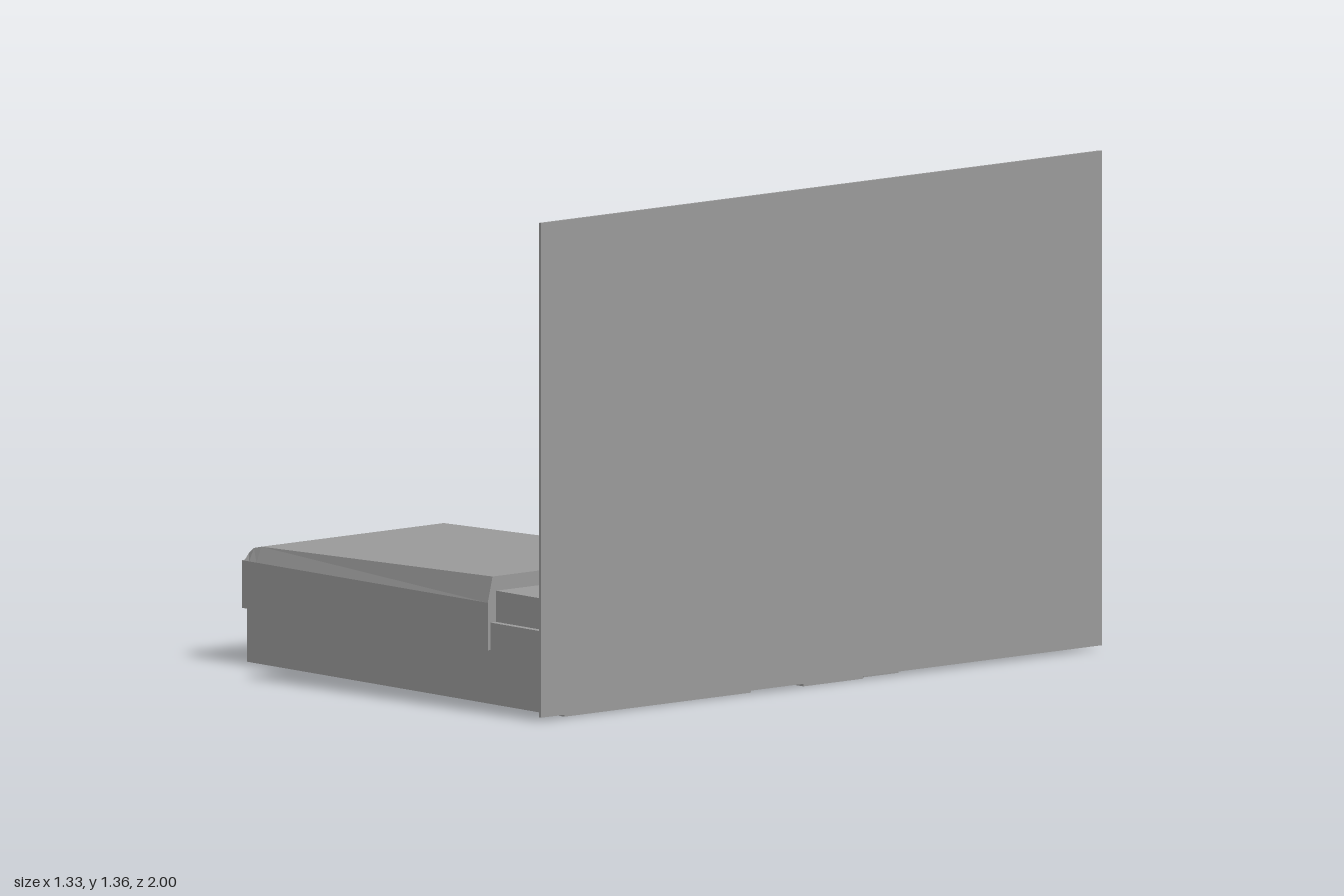
import * as THREE from 'three';

const grey = new THREE.MeshStandardMaterial({ color: 0x999999 });
grey.name = 'plain grey';

export function createModel() {
  const root = new THREE.Group();
  const group = (name) => {
    const g = new THREE.Group();
    g.name = name;
    root.add(g);
    return g;
  };
  const add = (parent, name, geometry, x = 0, y = 0, z = 0) => {
    const m = new THREE.Mesh(geometry, grey);
    m.name = name;
    m.position.set(x, y, z);
    parent.add(m);
    return m;
  };
  // box given by its limits on each axis
  const box = (parent, name, x0, x1, y0, y1, z0, z1) =>
    add(parent, name, new THREE.BoxGeometry(x1 - x0, y1 - y0, z1 - z0),
      (x0 + x1) / 2, (y0 + y1) / 2, (z0 + z1) / 2);
  // flat outline pushed along its own z
  const slab = (points, depth) => new THREE.ExtrudeGeometry(
    new THREE.Shape(points.map(([a, b]) => new THREE.Vector2(a, b))), { depth, bevelEnabled: false });
  // soft rounded-square cushion
  const cushion = (w, h, d, bend = 0) => {
    const g = new THREE.SphereGeometry(1, 32, 16);
    const p = g.attributes.position;
    for (let i = 0; i < p.count; i++) {
      const x = p.getX(i), y = p.getY(i), z = p.getZ(i);
      const r = Math.hypot(x, z);
      const c = r > 1e-5 ? x / r : 0, s = r > 1e-5 ? z / r : 0;
      const k = r > 1e-5 ? Math.sqrt(r) / Math.pow(c ** 6 + s ** 6, 1 / 6) : 0;
      p.setXYZ(i, c * k * w / 2 + bend * (s * k) ** 2, y * h / 2, s * k * d / 2);
    }
    g.computeVertexNormals();
    return g;
  };
  // closed convex sections joined in order of growing x
  const loft = (sections) => {
    const v = [];
    const tri = (...pts) => pts.forEach((q) => v.push(...q));
    const n = sections[0].length;
    for (let s = 0; s < sections.length - 1; s++) {
      for (let i = 0; i < n; i++) {
        const j = (i + 1) % n, A = sections[s], B = sections[s + 1];
        tri(A[i], A[j], B[j]);
        tri(A[i], B[j], B[i]);
      }
    }
    const first = sections[0], last = sections[sections.length - 1];
    for (let i = 1; i < n - 1; i++) {
      tri(first[0], first[i + 1], first[i]);
      tri(last[0], last[i], last[i + 1]);
    }
    const g = new THREE.BufferGeometry();
    g.setAttribute('position', new THREE.Float32BufferAttribute(v, 3));
    g.computeVertexNormals();
    return g;
  };

  // wall panel
  box(root, 'wall', 0.655, 0.663, 0.01, 1.36, -1, 1);

  // bed frame with two drawers on the back side
  const bed = group('bed');
  box(bed, 'bedBase', -0.655, 0.63, 0.003, 0.225, 0.245, 0.91);
  for (const [x0, x1] of [[-0.645, -0.04], [0, 0.59]]) {
    box(bed, 'bedDrawer', x0, x1, 0.03, 0.2, 0.233, 0.245);
  }
  const head = add(bed, 'headboard', slab([
    [-0.91, 0.003], [-0.245, 0.003], [-0.245, 0.495], [-0.3, 0.53], [-0.855, 0.53], [-0.91, 0.495],
  ], 0.045), 0.61);
  head.rotation.y = Math.PI / 2;

  // mattress with cut corners at the head
  const mattress = add(bed, 'mattress', slab([
    [-0.64, -0.89], [0.58, -0.89], [0.61, -0.86], [0.61, -0.3], [0.58, -0.27], [-0.64, -0.27],
  ], 0.087), 0, 0.223);
  mattress.rotation.x = -Math.PI / 2;

  // blanket: rises towards the head, rounded off at the foot
  const stations = [[-0.665, 0.281], [-0.655, 0.3], [-0.635, 0.315], [-0.605, 0.322], [0.35, 0.35]];
  add(bed, 'blanket', loft(stations.map(([x, top]) => [
    [x, 0.15, 0.23], [x, 0.28, 0.23], [x, top, 0.252], [x, top, 0.903], [x, 0.28, 0.92], [x, 0.15, 0.92],
  ])));

  const pillow = add(bed, 'pillow', cushion(0.145, 0.042, 0.36, 0.012), 0.478, 0.33, 0.573);
  pillow.rotation.y = 0.03;

  // bedside cabinet, open below its drawers and facing the foot of the bed
  const cabinet = group('cabinet');
  for (const z of [-0.16, 0.04]) box(cabinet, 'cabinetSide', 0.53, 0.648, 0, 0.31, z, z + 0.012);
  box(cabinet, 'cabinetBack', 0.638, 0.648, 0, 0.31, -0.148, 0.04);
  box(cabinet, 'cabinetTop', 0.525, 0.65, 0.31, 0.325, -0.163, 0.056);
  box(cabinet, 'cabinetShelf', 0.535, 0.638, 0.135, 0.147, -0.148, 0.04);
  for (const y of [0.152, 0.233]) {
    box(cabinet, 'cabinetDrawer', 0.526, 0.636, y, y + 0.072, -0.145, 0.037);
    box(cabinet, 'drawerHandle', 0.513, 0.526, y + 0.034, y + 0.044, -0.09, -0.015);
  }

  // small things on the cabinet
  const pen = box(cabinet, 'pen', 0.55, 0.615, 0.325, 0.331, 0.02, 0.026);
  pen.rotation.y = 0.5;
  const book = box(cabinet, 'notebook', 0.57, 0.625, 0.325, 0.332, -0.055, -0.01);
  book.rotation.y = 0.15;
  add(cabinet, 'cup', new THREE.CylinderGeometry(0.012, 0.01, 0.03, 16), 0.605, 0.34, -0.09);
  const cord = new THREE.CatmullRomCurve3([
    [0.585, 0.33, -0.12], [0.6, 0.365, -0.08], [0.61, 0.345, -0.05], [0.635, 0.36, -0.04], [0.65, 0.33, -0.02],
  ].map((p) => new THREE.Vector3(...p)));
  add(cabinet, 'cord', new THREE.TubeGeometry(cord, 24, 0.004, 8));

  // pair of slippers half under the cabinet
  const slippers = group('slippers');
  for (const z of [-0.11, -0.035]) {
    add(slippers, 'slipperSole', cushion(0.13, 0.014, 0.052), 0.5, 0.007, z);
    const toe = add(slippers, 'slipperToe', new THREE.SphereGeometry(1, 24, 12), 0.468, 0.026, z);
    toe.scale.set(0.04, 0.025, 0.026);
    const heel = add(slippers, 'slipperHeel', new THREE.SphereGeometry(1, 24, 12), 0.525, 0.03, z);
    heel.scale.set(0.035, 0.027, 0.024);
  }

  // tapered bin with a rim, holding soft folded things
  const bin = group('bin');
  const body = new THREE.CylinderGeometry(0.102, 0.088, 0.15, 4, 1).rotateY(Math.PI / 4).toNonIndexed();
  body.computeVertexNormals();
  add(bin, 'binBody', body, 0.568, 0.075, -0.24);
  box(bin, 'binRim', 0.491, 0.645, 0.143, 0.16, -0.316, -0.165);
  for (const [y, size, turn] of [[0.175, 0.125, 0.05], [0.2, 0.13, -0.06], [0.225, 0.135, 0.1]]) {
    add(bin, 'foldedCloth', cushion(size, 0.034, size - 0.005), 0.562, y, -0.24).rotation.y = turn;
  }

  return root;
}
